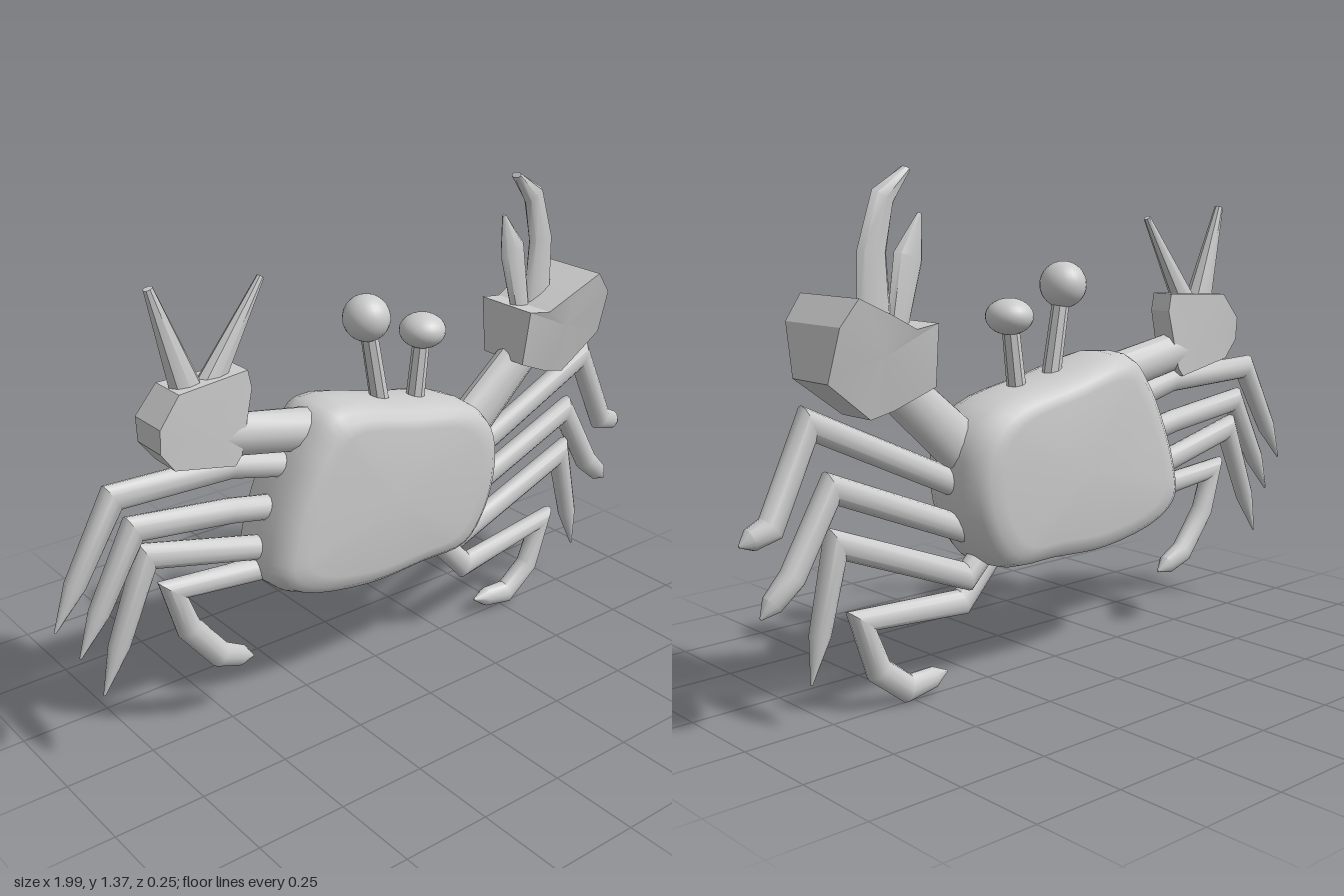
import * as THREE from 'three';
import { toCreasedNormals } from 'three/addons/utils/BufferGeometryUtils.js';

// Closed skin over a row of rings; each ring runs counter-clockwise about the row's direction
function loft(rings, crease) {
  const n = rings[0].length, pos = [], idx = [];
  rings.forEach(r => r.forEach(p => pos.push(p.x, p.y, p.z)));
  for (let i = 0; i < rings.length - 1; i++) {
    for (let j = 0; j < n; j++) {
      const a = i * n + j, b = i * n + (j + 1) % n;
      idx.push(a, b, b + n, a, b + n, a + n);
    }
  }
  [0, rings.length - 1].forEach((r, end) => {
    const c = rings[r].reduce((s, p) => s.add(p), new THREE.Vector3()).divideScalar(n);
    const ci = pos.length / 3;
    pos.push(c.x, c.y, c.z);
    for (let j = 0; j < n; j++) {
      const a = r * n + j, b = r * n + (j + 1) % n;
      idx.push(ci, end ? a : b, end ? b : a);
    }
  });
  const g = new THREE.BufferGeometry();
  g.setAttribute('position', new THREE.Float32BufferAttribute(pos, 3));
  g.setIndex(idx);
  return toCreasedNormals(g, crease);
}

// Mitred limb through points [x, y, in-plane radius, z radius, z]
function limb(points, sides = 12) {
  const dir = (a, b) => new THREE.Vector2(b[0] - a[0], b[1] - a[1]).normalize();
  const rings = points.map((p, i) => {
    const d0 = dir(points[Math.max(i - 1, 0)], points[Math.max(i, 1)]);
    const last = points.length - 1;
    const d1 = dir(points[Math.min(i, last - 1)], points[Math.min(i + 1, last)]);
    const d = d0.clone().add(d1).normalize();
    const r = p[2] * Math.min(1 / Math.max(d.dot(d0), 0.1), 1.5);
    return Array.from({ length: sides }, (_, k) => {
      const t = k / sides * Math.PI * 2, c = Math.cos(t) * r;
      return new THREE.Vector3(p[0] - d.y * c, p[1] + d.x * c, (p[4] || 0) + Math.sin(t) * p[3]);
    });
  });
  return loft(rings, 0.65);
}

// Leg of even thickness ending in a point; the root may sit off the centre plane
function leg(path, rootZ = 0) {
  const pts = path.map(([x, y], i) => [x, y, 0.035, 0.03, i < 2 ? rootZ : 0]);
  const [a, b] = pts.slice(-2);
  const near = [a[0] + (b[0] - a[0]) * 0.65, a[1] + (b[1] - a[1]) * 0.65, 0.029, 0.025, 0];
  b[2] = b[3] = 0.003;
  pts.splice(-1, 0, near);
  return limb(pts);
}

// Faceted block from a clockwise outline of [x, y, half depth]
function block(outline) {
  const o = [...outline].reverse();
  return loft([-1, 1].map(s => o.map(([x, y, h]) => new THREE.Vector3(x, y, s * h))), 0.2);
}

export function createModel() {
  const crab = new THREE.Group();
  crab.name = 'crab';
  const mat = new THREE.MeshStandardMaterial({ color: 0xcccccc });
  const add = (name, geometry) => {
    const m = new THREE.Mesh(geometry, mat);
    m.name = name;
    crab.add(m);
    return m;
  };

  // Shell: tilted outline, rounded towards flat front and back
  const outline = [[-0.21, 0.86], [0.05, 0.815], [0.29, 0.755], [0.365, 0.68], [0.385, 0.56],
    [0.35, 0.42], [0.27, 0.325], [0.1, 0.315], [-0.11, 0.31], [-0.34, 0.36], [-0.41, 0.42],
    [-0.4, 0.52], [-0.35, 0.66], [-0.28, 0.79]].reverse();
  const curve = new THREE.CatmullRomCurve3(
    outline.map(([x, y]) => new THREE.Vector3(x, y, 0)), true, 'centripetal');
  const rim = curve.getPoints(56).slice(0, -1);
  const layers = [[0.125, 0.76], [0.12, 0.87], [0.1, 0.94], [0.06, 0.985]];
  const profile = [...layers.map(([z, s]) => [-z, s]), [0, 1], ...[...layers].reverse()];
  add('shell', loft(profile.map(([z, s]) => rim.map(p =>
    new THREE.Vector3(-0.01 + (p.x + 0.01) * s, 0.57 + (p.y - 0.57) * s, z))), 1.1));

  // Eyes on stalks
  [['right', [-0.03, 1.055], [0.02, 0.78], 0.064], ['left', [0.165, 0.98], [0.135, 0.74], 0.049]]
    .forEach(([side, top, base, ry]) => {
      add(side + 'EyeStalk', limb([[...base, 0.027, 0.027], [...top, 0.023, 0.023]], 8));
      const eye = add(side + 'Eye', new THREE.SphereGeometry(1, 24, 16));
      eye.scale.set(0.064, ry, 0.066);
      eye.position.set(top[0], top[1], 0);
    });

  // Walking legs, from the uppermost pair down
  const legs = {
    right: [
      [[-0.25, 0.695], [-0.47, 0.75], [-0.81, 0.76], [-0.99, 0.45]],
      [[-0.28, 0.585], [-0.48, 0.625], [-0.76, 0.66], [-0.93, 0.355]],
      [[-0.28, 0.465], [-0.73, 0.575], [-0.875, 0.225]],
      [[-0.3, 0.42], [-0.66, 0.455], [-0.62, 0.33], [-0.53, 0.215], [-0.425, 0.17]]],
    left: [
      [[0.3, 0.53], [0.8, 0.765], [0.91, 0.53], [0.995, 0.5]],
      [[0.28, 0.41], [0.74, 0.6], [0.855, 0.4], [0.945, 0.315]],
      [[0.24, 0.38], [0.32, 0.3], [0.73, 0.46], [0.81, 0.12]],
      [[0.18, 0.36], [0.31, 0.22], [0.66, 0.25], [0.61, 0.11], [0.52, 0.04], [0.39, 0.055]]]
  };
  for (const side in legs) {
    legs[side].forEach((path, i) =>
      add(`${side}Leg${i + 1}`, leg(path, side === 'left' && i === 3 ? 0.035 : 0)));
  }

  // Left claw: arm, flared palm and two fingers
  add('leftClawArm', limb([[0.28, 0.6, 0.075, 0.05], [0.62, 0.9, 0.06, 0.045]]));
  add('leftClawPalm', block([[0.48, 0.99, 0.1], [0.55, 0.98, 0.105], [0.63, 1.02, 0.115],
    [0.73, 1.065, 0.123], [0.78, 1.0, 0.115], [0.79, 0.865, 0.075], [0.66, 0.765, 0.06],
    [0.59, 0.78, 0.06], [0.475, 0.83, 0.08]]));
  add('leftClawLargeFinger', limb([[0.6, 0.93, 0.055, 0.02], [0.605, 1.165, 0.043, 0.02],
    [0.57, 1.295, 0.034, 0.02], [0.5, 1.362, 0.01, 0.018]], 8));
  add('leftClawSmallFinger', limb([[0.54, 0.94, 0.03, 0.018], [0.495, 1.15, 0.045, 0.02],
    [0.458, 1.255, 0.006, 0.005]], 8));

  // Right claw: arm, wedge palm and two straight fingers
  add('rightClawArm', limb([[-0.17, 0.78, 0.06, 0.06], [-0.55, 0.85, 0.057, 0.04]]));
  add('rightClawPalm', block([[-0.64, 1.0, 0.055], [-0.43, 1.01, 0.035], [-0.42, 0.96, 0.035],
    [-0.46, 0.79, 0.04], [-0.48, 0.765, 0.04], [-0.66, 0.805, 0.05], [-0.7, 0.86, 0.055],
    [-0.7, 0.925, 0.06]]));
  add('rightClawOuterFinger', limb([[-0.58, 0.96, 0.047, 0.035], [-0.675, 1.257, 0.013, 0.012]], 8));
  add('rightClawInnerFinger', limb([[-0.53, 0.97, 0.04, 0.03], [-0.36, 1.23, 0.01, 0.01]], 8));

  return crab;
}
